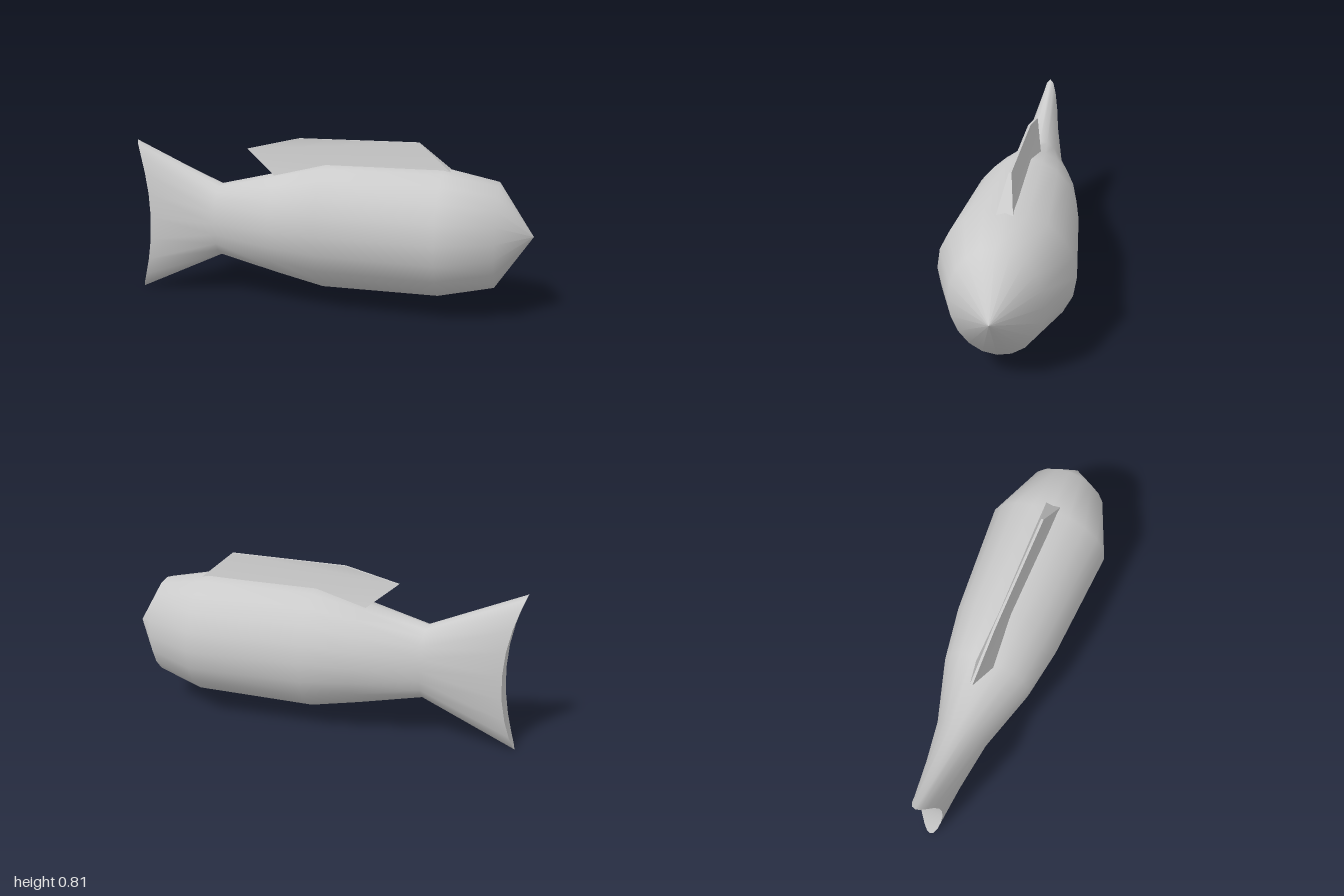
import * as THREE from 'three';
import { toCreasedNormals } from 'three/addons/utils/BufferGeometryUtils.js';

const SIDES = 20;
const MID = 0.39;
const material = new THREE.MeshStandardMaterial({ color: 0xcccccc });

// Body stations from tail to nose: x, half height, half width, rim sweep
const stations = [
  [-0.92, 0.39, 0.06, 0.08],
  [-0.55, 0.183, 0.128, 0],
  [-0.24, 0.254, 0.224, 0],
  [0, 0.308, 0.265, 0],
  [0.57, 0.308, 0.31, 0],
  [0.83, 0.255, 0.205, 0],
  [1, 0, 0, 0],
];

function ringPoint([x, ry, rz, sweep], j) {
  const a = (j / SIDES) * Math.PI * 2;
  const s = Math.sin(a);
  return [x - sweep * s * s, MID + ry * s, rz * Math.cos(a)];
}

function meshGeometry(points, index) {
  const g = new THREE.BufferGeometry();
  g.setAttribute('position', new THREE.Float32BufferAttribute(points.flat(), 3));
  g.setIndex(index);
  g.computeVertexNormals();
  return g;
}

// Elliptical rings joined into a smooth skin
function bodyGeometry() {
  const points = [], index = [];
  stations.forEach((st) => {
    for (let j = 0; j < SIDES; j++) points.push(ringPoint(st, j));
  });
  for (let i = 0; i < stations.length - 1; i++) {
    for (let j = 0; j < SIDES; j++) {
      const k = (j + 1) % SIDES;
      const a = i * SIDES + j, b = i * SIDES + k;
      const c = a + SIDES, d = b + SIDES;
      index.push(a, c, b);
      if (i < stations.length - 2) index.push(b, c, d);
    }
  }
  return meshGeometry(points, index);
}

// Concave strip closing the rear of the tail
function tailEndGeometry() {
  const points = [], index = [];
  const half = SIDES / 2;
  for (let j = -half / 2; j <= half / 2; j++) {
    points.push(ringPoint(stations[0], j), ringPoint(stations[0], half - j));
  }
  for (let i = 0; i < half; i++) {
    const a = i * 2;
    index.push(a, a + 2, a + 1, a + 1, a + 2, a + 3);
  }
  return meshGeometry(points, index);
}

// Swept fin, thickening from its upper edge down into the back
function finGeometry() {
  const outline = [[-0.405, 0.755], [-0.2, 0.585], [0.45, 0.6], [0.66, 0.64], [0.45, 0.815], [-0.14, 0.815]];
  const shape = new THREE.Shape(outline.map(([x, y]) => new THREE.Vector2(x, y)));
  const g = new THREE.ExtrudeGeometry(shape, { depth: 1, bevelEnabled: false });
  const p = g.attributes.position;
  for (let i = 0; i < p.count; i++) {
    const top = 0.815 + Math.min(0, p.getX(i) + 0.14) * 0.226;
    const t = 0.006 + 0.235 * Math.max(0, top - p.getY(i));
    p.setZ(i, p.getZ(i) > 0.5 ? t : -t);
  }
  return toCreasedNormals(g, 0.5);
}

export function createModel() {
  const model = new THREE.Group();
  model.name = 'fish';
  const parts = { body: bodyGeometry(), tailEnd: tailEndGeometry(), dorsalFin: finGeometry() };
  for (const [name, geometry] of Object.entries(parts)) {
    const mesh = new THREE.Mesh(geometry, material);
    mesh.name = name;
    model.add(mesh);
  }
  return model;
}
